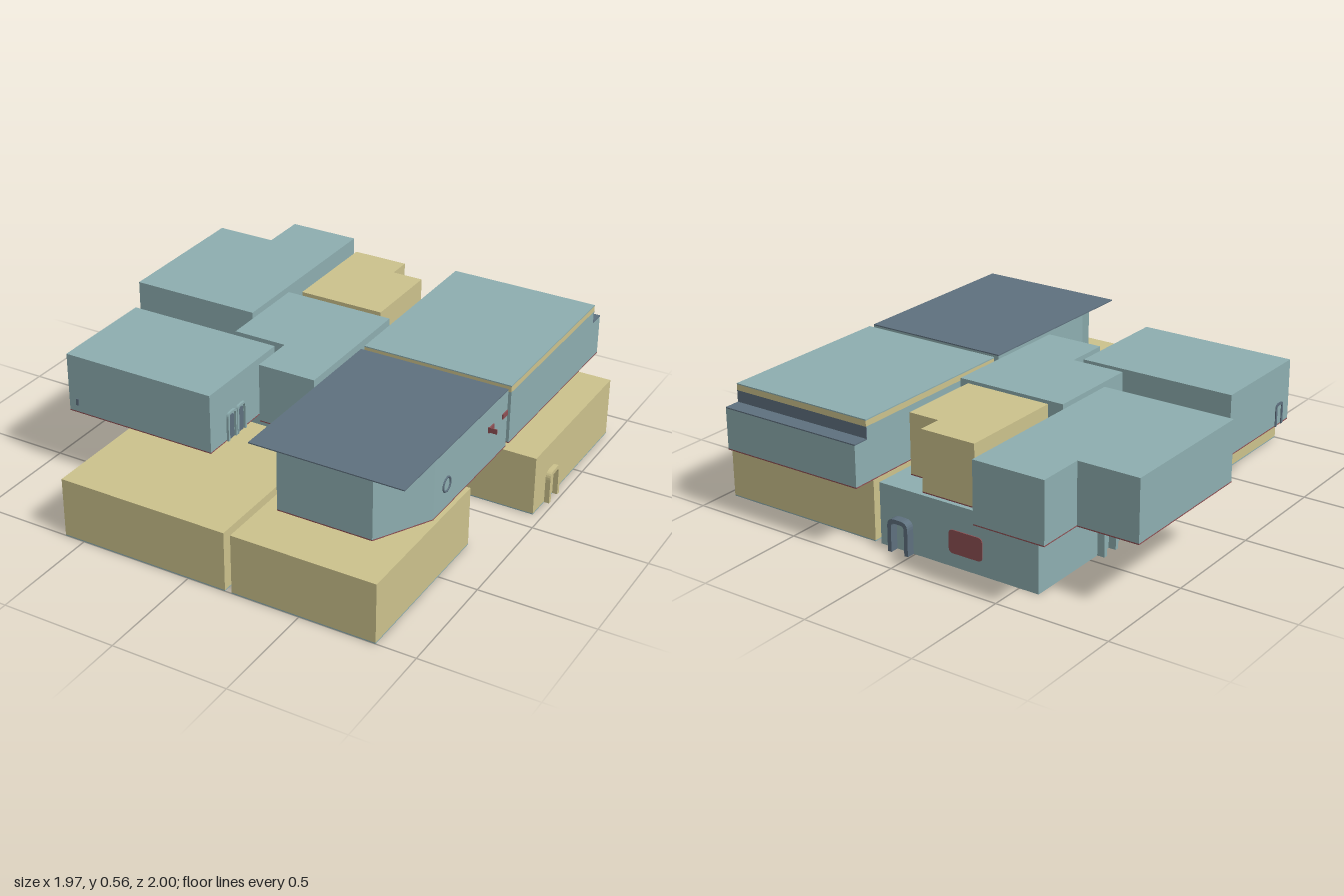
import * as THREE from 'three';

const mat = (name, color) => {
  const m = new THREE.MeshStandardMaterial({ color });
  m.name = name;
  return m;
};

export function createModel() {
  const model = new THREE.Group();
  model.name = 'modularBuilding';
  const teal = mat('teal', 0x8eafb1);
  const sand = mat('sand', 0xcdc38d);
  const slate = mat('slate', 0x5f717f);
  const red = mat('red', 0x8f5054);

  const add = (name, geo, m, x = 0, y = 0, z = 0, ry = 0) => {
    const mesh = new THREE.Mesh(geo, m);
    mesh.name = name;
    mesh.position.set(x, y, z);
    mesh.rotation.y = ry;
    model.add(mesh);
    return mesh;
  };
  const rect = (x0, x1, z0, z1) => [[x0, z0], [x1, z0], [x1, z1], [x0, z1]];

  // Upright prism from a plan outline of [x, z] points
  const prism = (name, plan, y0, y1, m) => {
    const shape = new THREE.Shape(plan.map(([x, z]) => new THREE.Vector2(x, -z)));
    const geo = new THREE.ExtrudeGeometry(shape, { depth: y1 - y0, bevelEnabled: false });
    geo.rotateX(-Math.PI / 2);
    return add(name, geo, m, 0, y0, 0);
  };
  // Walls over a thin floor plate
  const room = (name, plan, y0, y1, wall, floor) => {
    prism(name + 'Floor', plan, y0, y0 + 0.005, floor);
    prism(name, plan, y0 + 0.005, y1, wall);
  };

  // Doorway outline with rounded top corners, base at y = 0
  const archPath = (P, w, h) => {
    const r = w * 0.35, p = new P();
    p.moveTo(-w / 2, 0);
    p.lineTo(w / 2, 0);
    p.lineTo(w / 2, h - r);
    p.quadraticCurveTo(w / 2, h, w / 2 - r, h);
    p.lineTo(-w / 2 + r, h);
    p.quadraticCurveTo(-w / 2, h, -w / 2, h - r);
    return p;
  };
  // Doorway extruded along local +z; a frame is open, a passage is solid
  const doorway = (name, m, x, y, z, ry, depth, w = 0.1, h = 0.145, frame = 0) => {
    let shape = archPath(THREE.Shape, w, h);
    if (frame) {
      const a = w / 2, b = a - frame, r = w * 0.35;
      shape = new THREE.Shape();
      shape.moveTo(-a, 0);
      shape.lineTo(-b, 0);
      shape.lineTo(-b, h - r);
      shape.quadraticCurveTo(-b, h - frame, -b + r / 2, h - frame);
      shape.lineTo(b - r / 2, h - frame);
      shape.quadraticCurveTo(b, h - frame, b, h - r);
      shape.lineTo(b, 0);
      shape.lineTo(a, 0);
      shape.lineTo(a, h - r);
      shape.quadraticCurveTo(a, h, a - r, h);
      shape.lineTo(-a + r, h);
      shape.quadraticCurveTo(-a, h, -a, h - r);
    }
    const geo = new THREE.ExtrudeGeometry(shape, { depth, bevelEnabled: false, curveSegments: 6 });
    add(name, geo, m, x, y, z, ry);
  };
  const east = Math.PI / 2, west = -east, north = Math.PI;

  // Lower storey
  const low = 0.266;
  room('lowerFrontRightRoom', rect(-0.59, 0.17, 0.24, 1), 0, low, sand, teal);
  room('lowerFrontLeftRoom', rect(0.2, 0.83, 0.24, 1), 0, low, sand, teal);
  room('lowerBackLeftRoom', rect(0.2, 0.96, -0.85, -0.09), 0, low, sand, teal);
  room('lowerBackRightRoom', rect(-0.59, 0.17, -0.85, -0.09), 0, low, teal, teal);
  room('lowerHall', rect(-0.1, 0.5, -0.06, 0.21), 0, low, teal, teal);

  // Stairwell joining the storeys, with an open tread end
  prism('stairwell', rect(-0.59, -0.13, -0.088, 0.057), 0, 0.295, teal);
  prism('stairwellEnd', rect(-0.13, -0.125, -0.088, 0.057), 0, 0.295, red);
  for (let i = 0; i < 5; i++) {
    const y = 0.145 + i * 0.026;
    prism('stairTread', rect(-0.125, -0.11, -0.085, -0.055), y, y + 0.016, red);
  }

  // Lower doors and passages
  doorway('backDoorFrame', slate, 0.057, 0, -0.85, north, 0.037, 0.1, 0.145, 0.018);
  doorway('sideDoorFrame', sand, 0.96, 0, -0.25, east, 0.022, 0.1, 0.145, 0.018);
  doorway('farSideDoorFrame', teal, -0.59, 0, -0.4, west, 0.033, 0.1, 0.145, 0.018);
  doorway('hallPassage', sand, 0.39, 0, -0.09, 0, 0.03);
  doorway('hallPassage', teal, 0.03, 0, -0.09, 0, 0.03);
  for (const x of [0.02, 0.36]) doorway('hallPassage', slate, x, 0, 0.21, 0, 0.03);

  // Rounded sign panel on the lower back wall
  const sign = new THREE.Shape();
  const w = 0.08, h = 0.05, r = 0.022;
  sign.moveTo(-w + r, -h);
  sign.lineTo(w - r, -h);
  sign.quadraticCurveTo(w, -h, w, -h + r);
  sign.lineTo(w, h - r);
  sign.quadraticCurveTo(w, h, w - r, h);
  sign.lineTo(-w + r, h);
  sign.quadraticCurveTo(-w, h, -w, h - r);
  sign.lineTo(-w, -h + r);
  sign.quadraticCurveTo(-w, -h, -w + r, -h);
  add('wallPanel', new THREE.ExtrudeGeometry(sign, { depth: 0.004, bevelEnabled: false }),
    red, -0.25, 0.11, -0.85, north);

  // Upper storey rooms
  const base = 0.295, top = 0.56;
  room('upperBackRightRoom', [[-0.99, -0.79], [-0.72, -0.79], [-0.72, -1], [-0.4, -1],
    [-0.4, -0.12], [-0.99, -0.12]], base, top, teal, red);
  room('upperMiddleRoom', [[-0.32, -0.88], [-0.07, -0.88], [-0.07, -0.775], [0.07, -0.775],
    [0.07, -0.4], [-0.32, -0.4]], base, top, sand, red);
  room('upperHall', [[-0.37, -0.37], [0.13, -0.37], [0.13, 0.26], [-0.13, 0.26],
    [-0.13, 0.06], [-0.37, 0.06]], base, top, teal, red);
  room('upperFrontRightRoom', rect(-0.86, -0.16, 0.09, 0.58), base, top, teal, red);

  // Back left room with a stepped rear edge and a banded roof
  room('upperBackLeftRoom', rect(0.16, 0.83, -1, -0.1), base, 0.475, teal, red);
  prism('upperBackLeftWall', rect(0.16, 0.83, -0.925, -0.1), 0.475, 0.53, teal);
  prism('rearLedge', rect(0.16, 0.83, -1, -0.925), 0.475, 0.48, slate);
  prism('rearWindowStrip', rect(0.16, 0.83, -0.93, -0.925), 0.48, 0.53, slate);
  prism('roofBand', rect(0.16, 0.83, -0.93, -0.1), 0.53, 0.555, sand);
  prism('roofTop', rect(0.16, 0.83, -0.93, -0.1), 0.555, top, teal);

  // Front left room with a faceted front under a square roof
  room('upperFrontLeftRoom', [[0.16, -0.07], [0.83, -0.07], [0.83, 0.56], [0.7, 0.8],
    [0.285, 0.8], [0.16, 0.56]], base, 0.555, teal, red);
  prism('overhangingRoof', rect(0.16, 0.83, -0.07, 0.8), 0.555, top, slate);

  // Upper passages
  doorway('upperPassage', red, -0.4, base, -0.23, east, 0.03);
  doorway('upperPassage', red, 0.13, base, -0.23, east, 0.03);
  doorway('upperPassage', red, -0.16, base, 0.16, east, 0.03);
  doorway('upperPassage', red, -0.16, base, -0.4, 0, 0.03);

  // Double door on the front right room
  for (const z of [0.36, 0.43]) {
    doorway('doubleDoorFrame', teal, -0.16, base, z, east, 0.01, 0.066, 0.13, 0.01);
    doorway('doubleDoorLeaf', slate, -0.16, base, z, east, 0.003, 0.036, 0.11);
  }
  doorway('smallDoorFrame', slate, -0.86, base, 0.5, west, 0.004, 0.06, 0.1, 0.012);
  prism('smallWindow', rect(-0.825, -0.812, 0.58, 0.584), 0.33, 0.36, slate);

  // Round windows and red markers on the front left room
  for (const x of [0.16, 0.83]) {
    add('roundWindow', new THREE.TorusGeometry(0.03, 0.005, 6, 24), slate, x, 0.4, 0.455, east);
  }
  for (const z of [0.08, -0.045]) {
    prism('wallMarker', rect(0.83, 0.835, z - 0.022, z + 0.022), 0.445, 0.468, red);
  }
  prism('wallBracket', rect(0.83, 0.868, 0.1, 0.104), 0.45, 0.472, red);

  return model;
}
